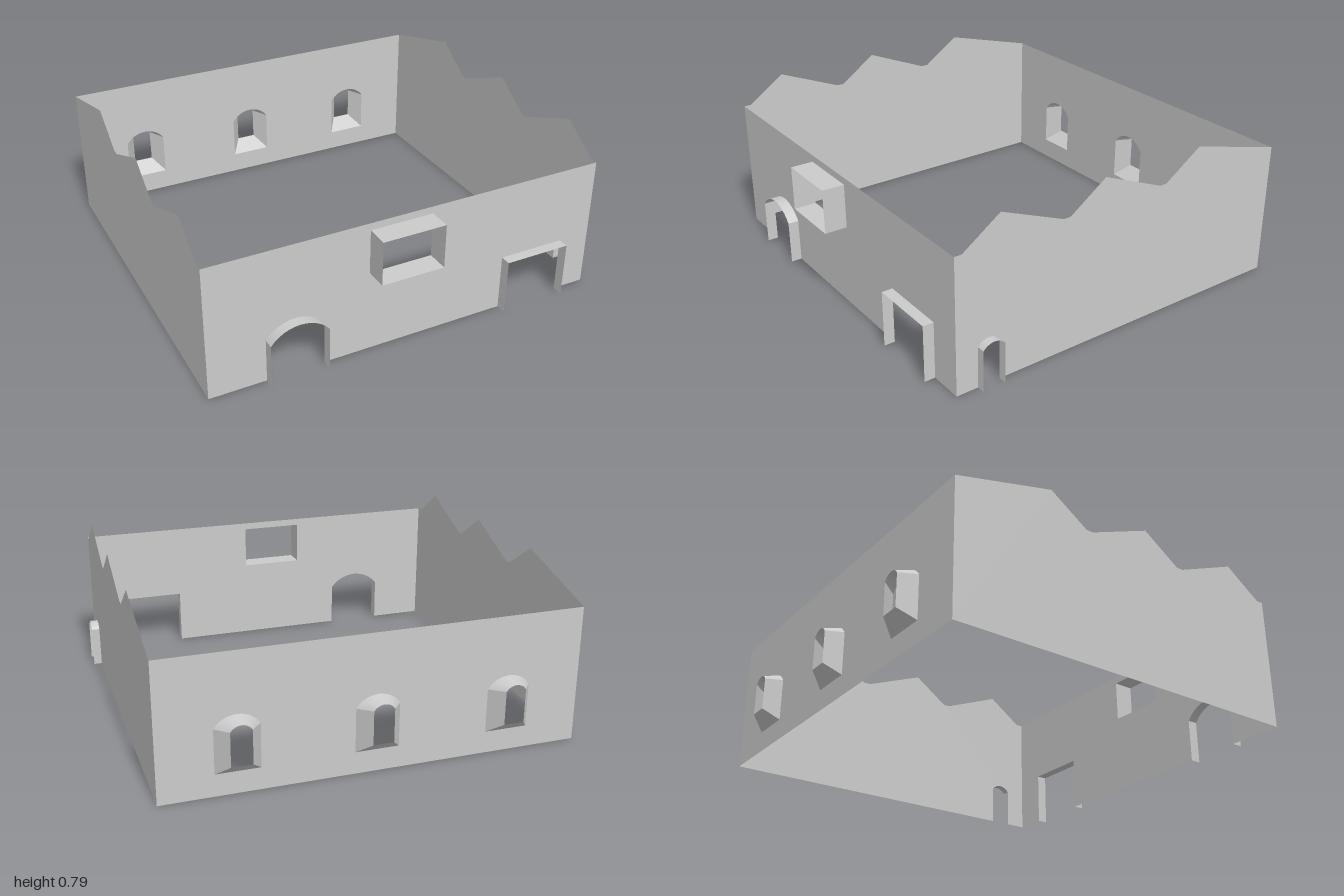
import * as THREE from 'three';
import { toCreasedNormals } from 'three/addons/utils/BufferGeometryUtils.js';

const material = new THREE.MeshStandardMaterial({ color: 0xcccccc, side: THREE.DoubleSide });

// Opening outline: up the left jamb, over a shallow arch (or flat lintel), down the right jamb
function opening(x0, x1, bottom, spring, top = spring, steps = 12) {
  const points = [[x0, bottom], [x0, spring]];
  const half = (x1 - x0) / 2, rise = top - spring;
  if (rise > 0) {
    const radius = (half * half + rise * rise) / (2 * rise);
    const sweep = Math.asin(half / radius);
    for (let i = 1; i < steps; i++) {
      const a = -sweep + (2 * sweep * i) / steps;
      points.push([x0 + half + radius * Math.sin(a), top - radius + radius * Math.cos(a)]);
    }
  }
  points.push([x1, spring], [x1, bottom]);
  return points;
}

// Thin lining that runs outward from the wall opening to an outer outline
function lining(name, inner, outer, depth, closed) {
  const positions = [];
  const count = closed ? inner.length : inner.length - 1;
  for (let i = 0; i < count; i++) {
    const j = (i + 1) % inner.length;
    const a = [...inner[i], 0], b = [...inner[j], 0];
    const c = [...outer[j], depth], d = [...outer[i], depth];
    positions.push(...a, ...b, ...c, ...a, ...c, ...d);
  }
  const geometry = new THREE.BufferGeometry();
  geometry.setAttribute('position', new THREE.Float32BufferAttribute(positions, 3));
  const mesh = new THREE.Mesh(toCreasedNormals(geometry, 0.5), material);
  mesh.name = name;
  return mesh;
}

// Wall sheet facing local +z: doors notch the bottom edge, windows are holes
function wall(name, x0, x1, topEdge, doors = [], windows = []) {
  const group = new THREE.Group();
  group.name = name;
  const outline = [[x0, 0], ...doors.flatMap((d) => d.inner), [x1, 0], ...topEdge];
  const toVectors = (points) => points.map(([x, y]) => new THREE.Vector2(x, y));
  const shape = new THREE.Shape(toVectors(outline));
  windows.forEach((w) => shape.holes.push(new THREE.Path(toVectors(w.inner))));
  const sheet = new THREE.Mesh(new THREE.ShapeGeometry(shape), material);
  sheet.name = name + 'Sheet';
  group.add(sheet);
  doors.forEach((d) => group.add(lining('doorLining', d.inner, d.outer ?? d.inner, d.depth, false)));
  windows.forEach((w) => group.add(lining('windowLining', w.inner, w.outer ?? w.inner, w.depth, true)));
  return group;
}

export function createModel() {
  const model = new THREE.Group();
  model.name = 'hall';
  const left = 0.96, right = -1, front = 0.886, back = -0.924, height = 0.655, peak = 0.785;

  // Front wall: arched door, square door and a projecting window
  const frontWall = wall('frontWall', right, left, [[left, height], [right, height]],
    [
      { inner: opening(-0.73, -0.453, 0, 0.215, 0.285), depth: 0.053 },
      { inner: opening(0.468, 0.798, 0, 0.275), depth: 0.053 },
    ],
    [{ inner: opening(-0.234, 0.074, 0.405, 0.62), depth: 0.109 }]);
  frontWall.position.z = front;

  // Back wall: three arched windows tapering outward
  const backWindows = [-0.647, -0.02, 0.609].map((x) => ({
    inner: opening(-x - 0.102, -x + 0.102, 0.105, 0.315, 0.37),
    outer: opening(-x - 0.048, -x + 0.048, 0.165, 0.325, 0.352),
    depth: 0.072,
  }));
  const backWall = wall('backWall', -left, -right, [[-right, height], [-left, height]], [], backWindows);
  backWall.rotation.y = Math.PI;
  backWall.position.z = back;

  // Side walls: sawtooth roof line given as [z, y] from front to back
  const roofLine = [
    [front, height], [0.85, height], [0.664, peak], [0.343, height], [0.307, height],
    [0.12, peak], [-0.2, height], [-0.237, height], [-0.428, peak], [back, height],
  ];
  const leftWall = wall('leftWall', -front, -back, roofLine.map(([z, y]) => [-z, y]).reverse(),
    [{ inner: opening(-0.778, -0.668, 0, 0.2, 0.227), depth: 0.04 }]);
  leftWall.rotation.y = Math.PI / 2;
  leftWall.position.x = left;

  const rightWall = wall('rightWall', back, front, roofLine);
  rightWall.rotation.y = -Math.PI / 2;
  rightWall.position.x = right;

  model.add(frontWall, backWall, leftWall, rightWall);
  return model;
}
